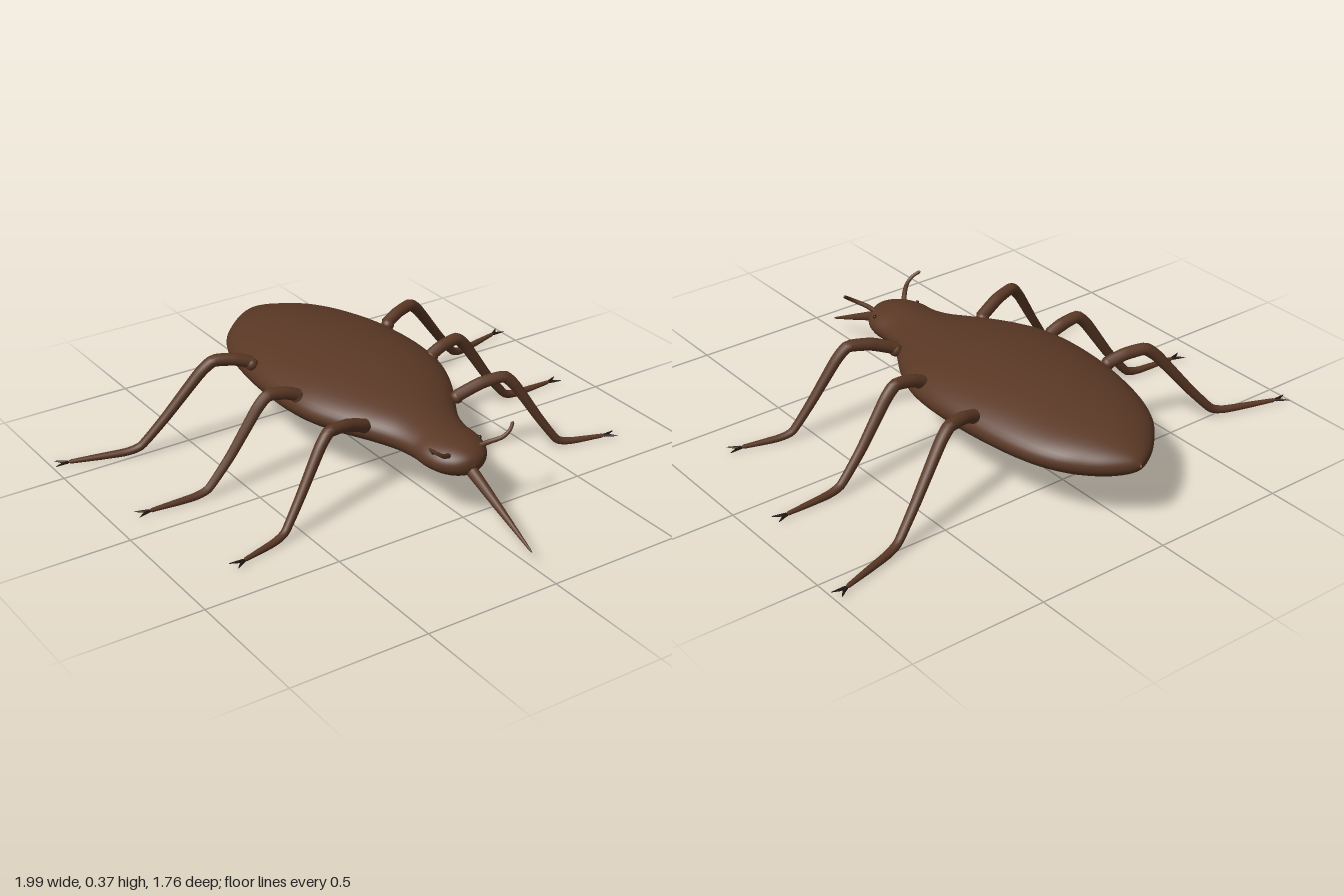
import * as THREE from 'three';

const brown = new THREE.MeshStandardMaterial({ color: 0x5a3825 });
brown.name = 'brown shell';
const dark = new THREE.MeshStandardMaterial({ color: 0x24160f });
dark.name = 'dark claw';

const V = (p) => new THREE.Vector3(...p);

function add(group, name, geometry, material = brown) {
  const mesh = new THREE.Mesh(geometry, material);
  mesh.name = name;
  group.add(mesh);
  return mesh;
}

// Tube along a curve, its radius interpolated from a list; ends are closed
function taperedTube(points, radii, steps = 32, sides = 10, tension = 0.25) {
  const curve = new THREE.CatmullRomCurve3(points.map(V), false, 'catmullrom', tension);
  const geo = new THREE.TubeGeometry(curve, steps, 1, sides, false);
  const pos = geo.attributes.position;
  const p = new THREE.Vector3();
  for (let i = 0; i <= steps; i++) {
    const center = curve.getPointAt(i / steps);
    const t = (i / steps) * (radii.length - 1);
    const k = Math.min(Math.floor(t), radii.length - 2);
    const r = i === 0 || i === steps ? 0.0005 : THREE.MathUtils.lerp(radii[k], radii[k + 1], t - k);
    for (let j = 0; j <= sides; j++) {
      const n = i * (sides + 1) + j;
      p.fromBufferAttribute(pos, n).sub(center).multiplyScalar(r).add(center);
      pos.setXYZ(n, p.x, p.y, p.z);
    }
  }
  return geo;
}

// Elliptical cross-sections from the tail to the head: z, half width, bottom, top
const SECTIONS = [
  [-0.88, 0.002, 0.24, 0.25], [-0.865, 0.04, 0.218, 0.27], [-0.83, 0.095, 0.197, 0.29],
  [-0.78, 0.15, 0.18, 0.308], [-0.71, 0.21, 0.168, 0.328], [-0.6, 0.262, 0.158, 0.347],
  [-0.4, 0.305, 0.152, 0.37], [-0.2, 0.318, 0.152, 0.373], [-0.08, 0.308, 0.154, 0.367],
  [0, 0.288, 0.158, 0.357], [0.1, 0.243, 0.165, 0.342], [0.19, 0.19, 0.17, 0.326],
  [0.28, 0.14, 0.17, 0.309], [0.36, 0.12, 0.169, 0.299], [0.43, 0.119, 0.169, 0.294],
  [0.49, 0.1, 0.173, 0.285], [0.53, 0.068, 0.186, 0.27], [0.55, 0.035, 0.203, 0.254],
  [0.557, 0.002, 0.226, 0.232],
];

function bodyGeometry(sides = 48, sub = 4) {
  const wide = new THREE.CatmullRomCurve3(SECTIONS.map(([z, w]) => V([w, 0, z])));
  const tall = new THREE.CatmullRomCurve3(SECTIONS.map(([z, , b, t]) => V([b, t, z])));
  const rings = (SECTIONS.length - 1) * sub;
  const pos = [], index = [];
  for (let i = 0; i <= rings; i++) {
    const a = wide.getPoint(i / rings), h = tall.getPoint(i / rings);
    for (let j = 0; j < sides; j++) {
      const angle = (j / sides) * Math.PI * 2;
      pos.push(Math.max(a.x, 0.001) * Math.cos(angle),
        (h.x + h.y) / 2 + ((h.y - h.x) / 2) * Math.sin(angle), a.z);
    }
  }
  for (let i = 0; i < rings; i++) {
    for (let j = 0; j < sides; j++) {
      const a = i * sides + j, b = i * sides + (j + 1) % sides;
      index.push(a, b, a + sides, b, b + sides, a + sides);
    }
  }
  const geo = new THREE.BufferGeometry();
  geo.setAttribute('position', new THREE.Float32BufferAttribute(pos, 3));
  geo.setIndex(index);
  geo.computeVertexNormals();
  return geo;
}

// Root, knee, shin, ankle and toe as [x, y]; z runs from z0 at the root to z1 at the toe
const LEGS = [
  { name: 'front', z0: 0.19, z1: 0.335, path: [[0.18, 0.275], [0.28, 0.315], [0.365, 0.325], [0.41, 0.28], [0.5, 0.14], [0.575, 0.035], [0.63, 0.018], [0.765, 0.015]] },
  { name: 'middle', z0: -0.088, z1: -0.118, path: [[0.27, 0.295], [0.33, 0.322], [0.4, 0.332], [0.445, 0.29], [0.55, 0.14], [0.64, 0.035], [0.7, 0.018], [0.87, 0.015]] },
  { name: 'hind', z0: -0.383, z1: -0.58, path: [[0.28, 0.305], [0.35, 0.33], [0.425, 0.336], [0.475, 0.295], [0.6, 0.14], [0.69, 0.04], [0.75, 0.022], [0.95, 0.017]] },
];

function addLeg(group, side, sideName, { name, z0, z1, path }) {
  const leg = new THREE.Group();
  leg.name = `${sideName} ${name} leg`;
  const first = path[0][0], last = path[path.length - 1][0];
  const points = path.map(([x, y]) => [side * x, y, z0 + (z1 - z0) * (x - first) / (last - first)]);
  add(leg, 'leg', taperedTube(points, [0.023, 0.023, 0.021, 0.019, 0.017, 0.015, 0.012, 0.007], 56));

  // Rounded joint where the leg meets the body
  const joint = add(leg, 'legJoint', new THREE.SphereGeometry(0.024, 16, 12));
  joint.position.set(...points[0]);
  joint.position.x += side * 0.015;

  // Forked claw pointing along the leg
  const [tx, ty, tz] = points[points.length - 1];
  const heading = Math.atan2(z1 - z0, side * (last - first));
  for (const spread of [-1, 1]) {
    const at = (d, s) => [
      tx + d * Math.cos(heading) - spread * s * Math.sin(heading), ty,
      tz + d * Math.sin(heading) + spread * s * Math.cos(heading)];
    add(leg, 'claw', taperedTube([at(-0.01, 0), at(0.015, 0.008), at(0.042, 0.022)], [0.006, 0.005, 0.001], 8, 6), dark);
  }
  group.add(leg);
}

export function createModel() {
  const model = new THREE.Group();
  model.name = 'insect';
  add(model, 'body', bodyGeometry());
  add(model, 'proboscis', taperedTube([[0, 0.22, 0.51], [0, 0.138, 0.69], [0, 0.055, 0.876]], [0.023, 0.014, 0.003], 20, 12));

  for (const [side, sideName] of [[1, 'left'], [-1, 'right']]) {
    LEGS.forEach((leg) => addLeg(model, side, sideName, leg));

    add(model, `${sideName} antenna`, taperedTube(
      [[0.06, 0.255, 0.49], [0.085, 0.278, 0.52], [0.118, 0.298, 0.548], [0.147, 0.318, 0.552], [0.173, 0.338, 0.536]]
        .map(([x, y, z]) => [side * x, y, z]), [0.01, 0.008, 0.006], 20, 8, 0.5));

    const eye = add(model, `${sideName} eye`, new THREE.SphereGeometry(0.007, 10, 8), dark);
    eye.position.set(side * 0.096, 0.264, 0.455);
  }
  return model;
}
